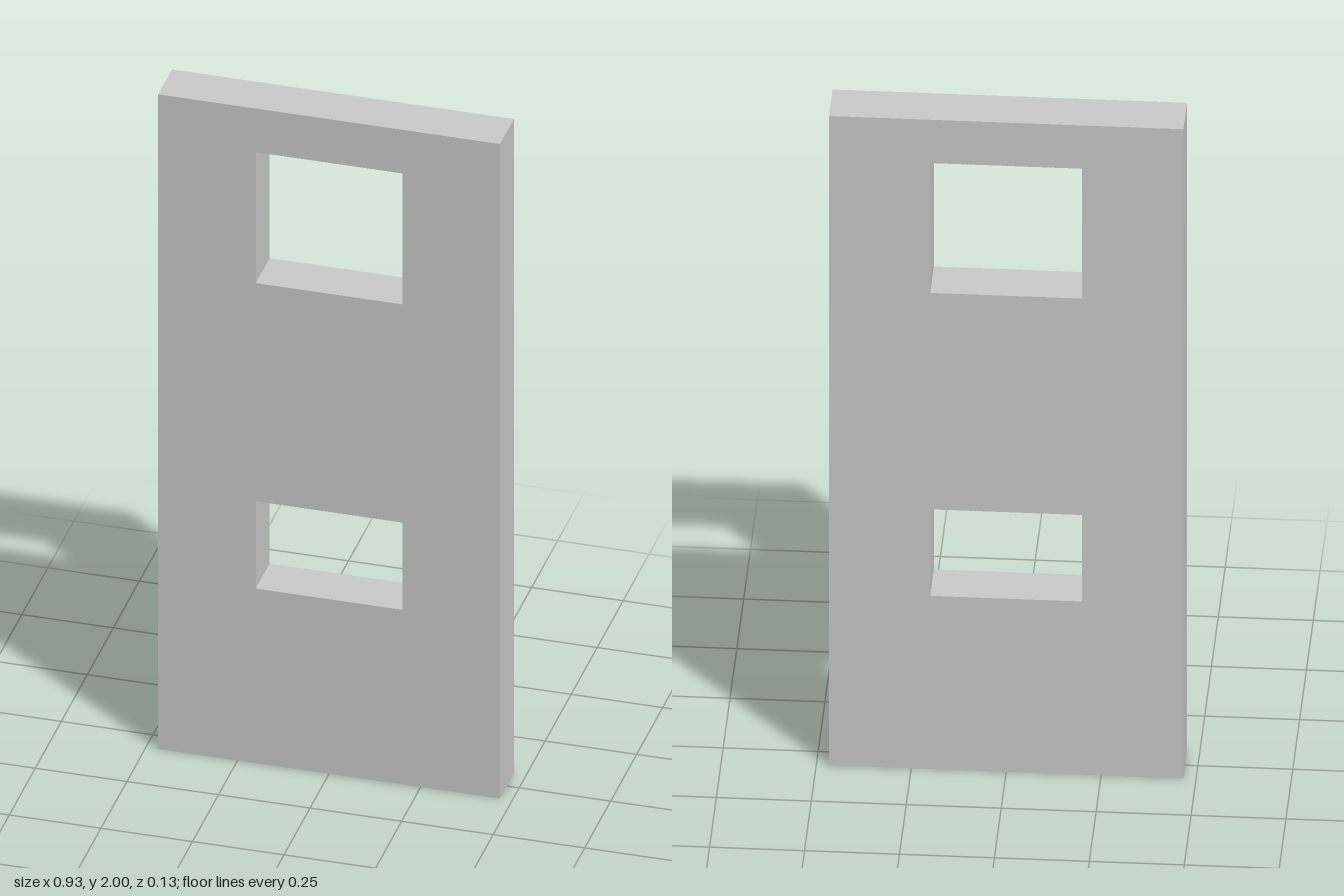
import * as THREE from 'three';

const U = 1 / 15; // layout module: the panel is 14 x 30 x 2 modules

// Closed rectangle from corner (x0, y0) to (x1, y1), in modules
function rectangle(PathType, x0, y0, x1, y1) {
  return new PathType([[x0, y0], [x1, y0], [x1, y1], [x0, y1]]
    .map(([x, y]) => new THREE.Vector2(x * U, y * U))).closePath();
}

export function createModel() {
  const model = new THREE.Group();
  model.name = 'windowedPanel';

  // Upright slab with a low opening and a taller upper opening
  const outline = rectangle(THREE.Shape, -7, 0, 7, 30);
  outline.holes.push(
    rectangle(THREE.Path, -3, 8, 3, 12),
    rectangle(THREE.Path, -3, 22, 3, 28),
  );

  const geometry = new THREE.ExtrudeGeometry(outline, { depth: 2 * U, bevelEnabled: false });
  geometry.translate(0, 0, -U);

  const panel = new THREE.Mesh(geometry, new THREE.MeshStandardMaterial({ color: 0xcccccc, flatShading: true }));
  panel.name = 'panel';
  model.add(panel);
  return model;
}
